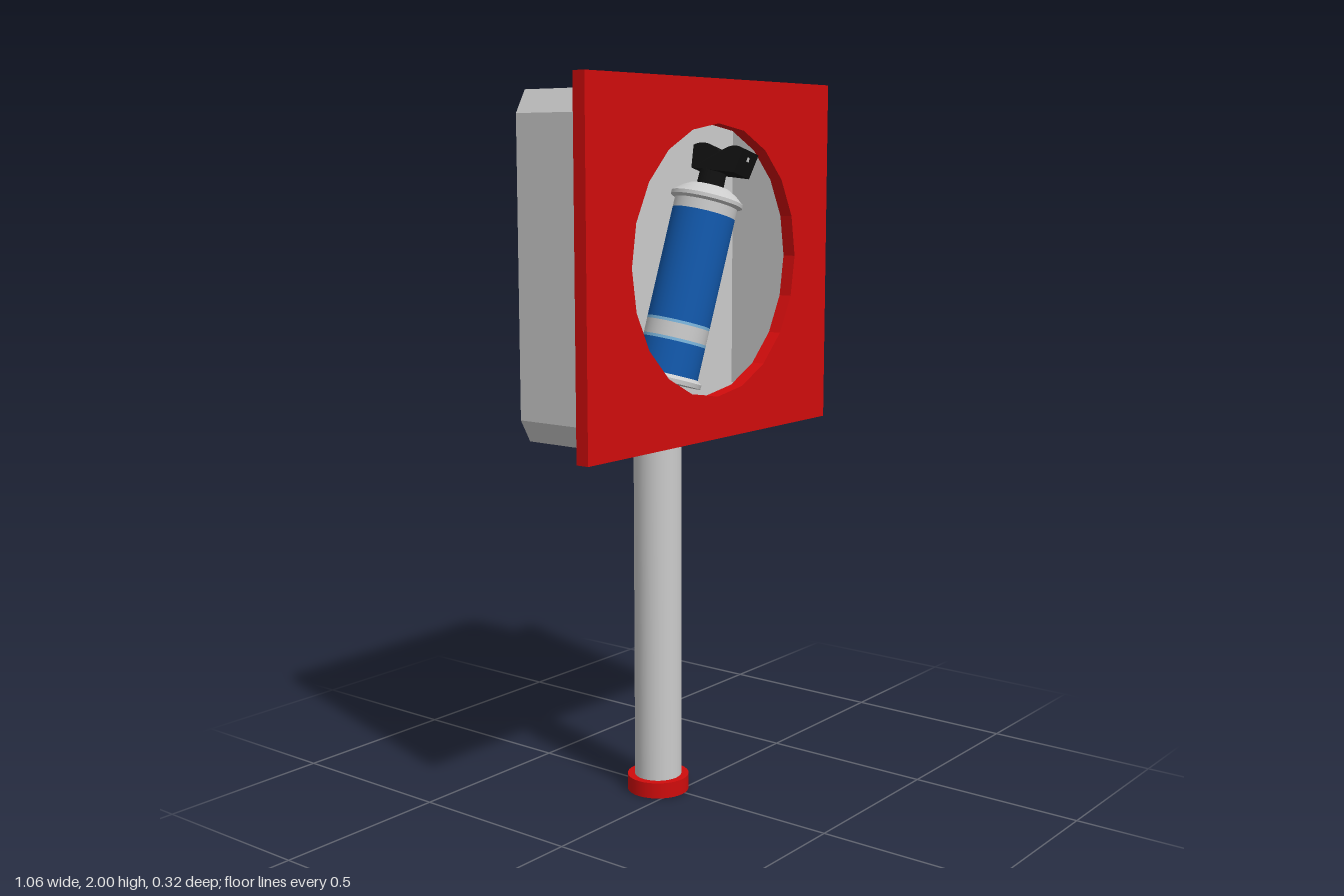
import * as THREE from 'three';

const grey = new THREE.MeshStandardMaterial({ color: 0xcccccc });
const red = new THREE.MeshStandardMaterial({ color: 0xd00c0c });
const blue = new THREE.MeshStandardMaterial({ color: 0x1259ad });
const paleBlue = new THREE.MeshStandardMaterial({ color: 0x7db8e0 });
const black = new THREE.MeshStandardMaterial({ color: 0x111111 });

function add(parent, name, geometry, material, x = 0, y = 0, z = 0) {
  const mesh = new THREE.Mesh(geometry, material);
  mesh.name = name;
  mesh.position.set(x, y, z);
  parent.add(mesh);
  return mesh;
}

const extrude = (shape, depth) =>
  new THREE.ExtrudeGeometry(shape, { depth, bevelEnabled: false, curveSegments: 8 });

// Rectangle with cut corners, centred on the origin
function cutRectangle(w, h, cx, cy) {
  const p = [];
  for (const [sx, sy] of [[1, 1], [-1, 1], [-1, -1], [1, -1]]) {
    const a = new THREE.Vector2(sx * w, sy * (h - cy));
    const b = new THREE.Vector2(sx * (w - cx), sy * h);
    p.push(...(sx * sy > 0 ? [a, b] : [b, a]));
  }
  return p;
}

// Closed cylinder standing between two heights
function post(parent, name, radius, y0, y1, material) {
  add(parent, name, new THREE.CylinderGeometry(radius, radius, y1 - y0, 32),
    material, -0.013, (y0 + y1) / 2, -0.062);
}

// Surface of revolution from [radius, height] pairs
function lathe(parent, name, profile, material) {
  // one lathe per segment keeps the edges between them sharp
  for (let i = 0; i < profile.length - 1; i++) {
    const points = [profile[i], profile[i + 1]].map(([r, y]) => new THREE.Vector2(r, y));
    add(parent, name, new THREE.LatheGeometry(points, 32), material);
  }
}

function createCan() {
  const can = new THREE.Group();
  can.name = 'can';
  // Rims, dome and bands of the canister
  lathe(can, 'bottomRim', [[0, 0], [0.099, 0], [0.1, 0.012], [0.087, 0.022]], grey);
  lathe(can, 'lowerBody', [[0.087, 0.022], [0.087, 0.112]], blue);
  lathe(can, 'lowerStripe', [[0.087, 0.112], [0.087, 0.12]], paleBlue);
  lathe(can, 'whiteBand', [[0.087, 0.12], [0.087, 0.16]], grey);
  lathe(can, 'upperStripe', [[0.087, 0.16], [0.087, 0.168]], paleBlue);
  lathe(can, 'upperBody', [[0.087, 0.168], [0.087, 0.47]], blue);
  lathe(can, 'shoulder', [[0.087, 0.47], [0.087, 0.498], [0.1, 0.504], [0.1, 0.514],
    [0.078, 0.532], [0.055, 0.545], [0, 0.55]], grey);

  // Spray head: a saddle profile on a short stem
  add(can, 'stem', new THREE.CylinderGeometry(0.036, 0.038, 0.06, 24), black, 0, 0.57, 0);
  const head = new THREE.Shape();
  head.moveTo(-0.05, 0.585);
  head.lineTo(0.095, 0.585);
  head.lineTo(0.108, 0.652);
  head.quadraticCurveTo(0.075, 0.664, 0.05, 0.648);
  head.lineTo(0.03, 0.638);
  head.quadraticCurveTo(-0.02, 0.67, -0.06, 0.648);
  const headGeometry = extrude(head, 0.07);
  headGeometry.translate(0, 0, -0.035).rotateY(-Math.PI / 2);
  // flare the head towards its front
  const pos = headGeometry.attributes.position;
  for (let i = 0; i < pos.count; i++) pos.setX(i, pos.getX(i) * (1 + 1.2 * Math.max(0, pos.getZ(i) - 0.03)));
  headGeometry.computeVertexNormals();
  add(can, 'sprayHead', headGeometry, black);
  add(can, 'orifice', new THREE.BoxGeometry(0.008, 0.012, 0.004), grey, 0, 0.63, 0.104);

  can.position.set(-0.055, 1.192, -0.002);
  can.rotation.set(0.088, 0, -0.26);
  return can;
}

export function createModel() {
  const model = new THREE.Group();
  model.name = 'canSign';

  // Front plate with a round window
  const plate = new THREE.Shape([[-0.532, 1.04], [0.532, 1.04], [0.532, 2], [-0.532, 2]]
    .map(([x, y]) => new THREE.Vector2(x, y)));
  const windowEdge = [];
  for (let i = 0; i < 20; i++) {
    const a = (i / 20) * Math.PI * 2;
    windowEdge.push(new THREE.Vector2(0.006 + 0.364 * Math.cos(a), 1.52 + 0.364 * Math.sin(a)));
  }
  plate.holes.push(new THREE.Path(windowEdge));
  add(model, 'frontPlate', extrude(plate, 0.038), red, 0, 0, 0.095);

  // Housing: thin walls with cut corners, open to the front
  const walls = new THREE.Shape(cutRectangle(0.465, 0.4525, 0.034, 0.06));
  walls.holes.push(new THREE.Path(cutRectangle(0.461, 0.4485, 0.034, 0.06)));
  add(model, 'housingWalls', extrude(walls, 0.249), grey, 0.005, 1.5125, -0.16);
  add(model, 'housingBack', extrude(new THREE.Shape(cutRectangle(0.463, 0.4505, 0.034, 0.06)), 0.004),
    grey, 0.005, 1.5125, -0.1601);

  // Pole with its end collars
  post(model, 'pole', 0.067, 0.03, 1.05, grey);
  post(model, 'baseCollar', 0.088, 0, 0.045, red);
  post(model, 'topCollar', 0.088, 1.026, 1.062, red);

  model.add(createCan());
  return model;
}
